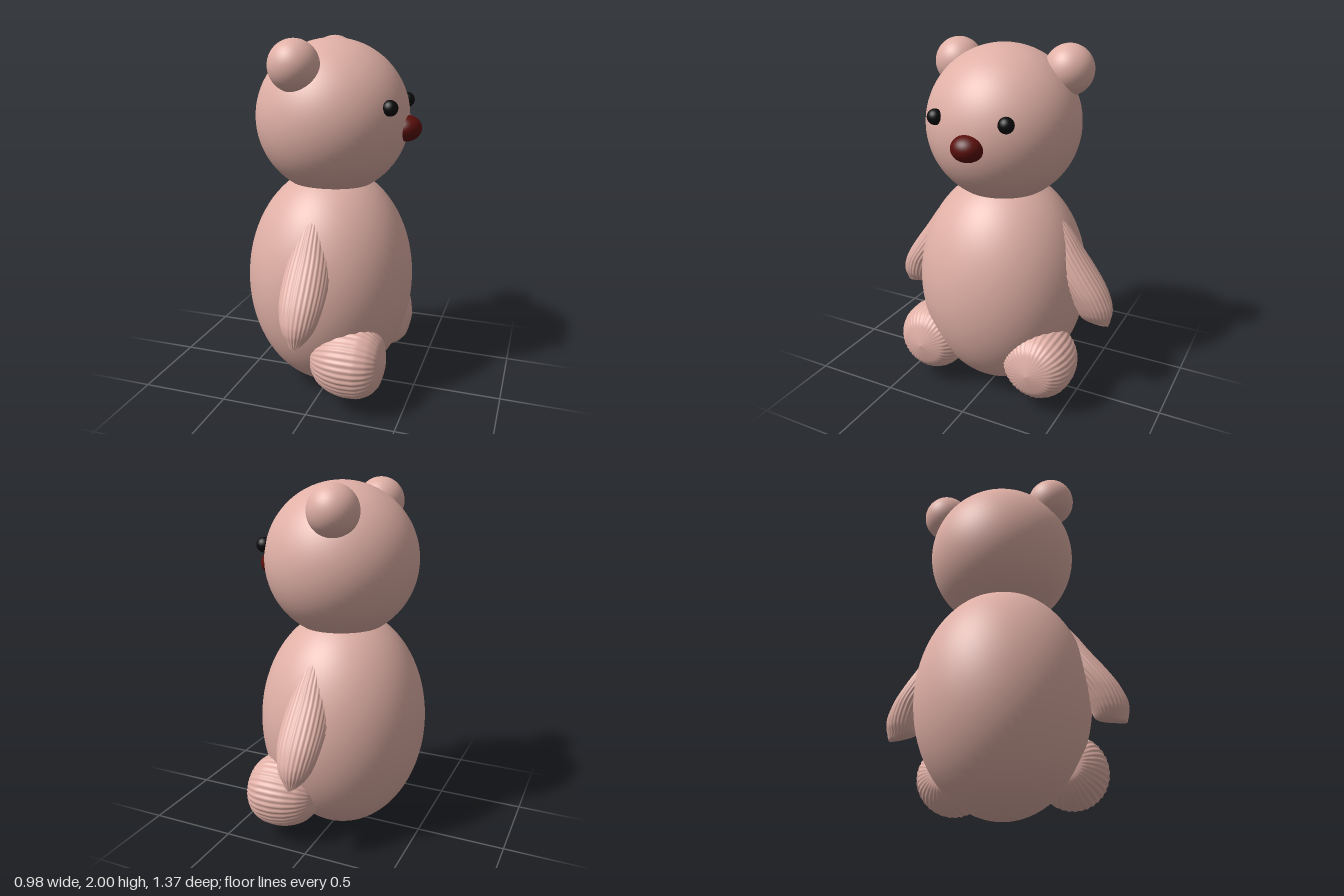
import * as THREE from 'three';

const fur = new THREE.MeshStandardMaterial({ color: 0xe0b0a6 });
const black = new THREE.MeshStandardMaterial({ color: 0x0a0a0a });
const darkRed = new THREE.MeshStandardMaterial({ color: 0x5a0f0b });

// Smooth ellipsoid with its own centre and radii
function ellipsoid(name, material, [x, y, z], [rx, ry, rz], detail = 48) {
  const geometry = new THREE.SphereGeometry(1, detail, detail / 2);
  geometry.scale(rx, ry, rz);
  const mesh = new THREE.Mesh(geometry, material);
  mesh.name = name;
  mesh.position.set(x, y, z);
  return mesh;
}

// Closed, ribbed loft through elliptical rings.
// rings: [centre, radiusU, radiusV]; u cross v points along the loft.
function ribbedLoft(rings, u, v, ribs, depth, steps = 40) {
  const centres = new THREE.CatmullRomCurve3(rings.map(r => new THREE.Vector3(...r[0])));
  const radii = new THREE.CatmullRomCurve3(rings.map(r => new THREE.Vector3(r[1], r[2], 0)));
  const around = ribs * 6;
  const positions = [];
  const index = [];
  for (let i = 0; i <= steps; i++) {
    const c = centres.getPoint(i / steps);
    const r = radii.getPoint(i / steps);
    for (let j = 0; j < around; j++) {
      const a = (j / around) * Math.PI * 2;
      const rib = 1 + depth * Math.cos(a * ribs);
      const p = c.clone()
        .addScaledVector(u, Math.max(r.x, 0) * rib * Math.cos(a))
        .addScaledVector(v, Math.max(r.y, 0) * rib * Math.sin(a));
      positions.push(p.x, p.y, p.z);
      if (i === steps) continue;
      const k = (j + 1) % around;
      const p0 = i * around + j, p1 = i * around + k;
      index.push(p0, p1, p0 + around, p1, p1 + around, p0 + around);
    }
  }
  const geometry = new THREE.BufferGeometry();
  geometry.setAttribute('position', new THREE.Float32BufferAttribute(positions, 3));
  geometry.setIndex(index);
  geometry.computeVertexNormals();
  return geometry;
}

const X = new THREE.Vector3(1, 0, 0);
const Y = new THREE.Vector3(0, 1, 0);
const Z = new THREE.Vector3(0, 0, 1);

// Arm levels from shoulder to paw: height, inner z, outer z, half width
function armGeometry() {
  const levels = [
    [1.16, 0.2, 0.2, 0],
    [1.1, 0.12, 0.34, 0.06],
    [1.0, 0.18, 0.425, 0.09],
    [0.89, 0.27, 0.5, 0.113],
    [0.77, 0.35, 0.588, 0.122],
    [0.68, 0.42, 0.645, 0.117],
    [0.6, 0.46, 0.678, 0.1],
    [0.55, 0.485, 0.683, 0.082],
    [0.505, 0.51, 0.675, 0.052],
    [0.485, 0.6, 0.67, 0.03],
    [0.473, 0.667, 0.667, 0],
  ];
  const rings = levels.map(([y, inner, outer, half]) =>
    [[0, y, (inner + outer) / 2], half, (outer - inner) / 2]);
  return ribbedLoft(rings, X, Z, 28, 0.018);
}

// Leg profile along x, ending in a blunt point at the sole
function legGeometry() {
  const profile = [
    [-0.01, 0], [0, 0.09], [0.05, 0.152], [0.12, 0.188], [0.2, 0.202],
    [0.27, 0.198], [0.33, 0.173], [0.372, 0.128], [0.393, 0.06], [0.405, 0],
  ];
  return ribbedLoft(profile.map(([x, r]) => [[x, 0, 0], r, r]), Y, Z, 36, 0.014);
}

export function createModel() {
  const bear = new THREE.Group();
  bear.name = 'bear';

  // Body and head
  bear.add(ellipsoid('body', fur, [-0.017, 0.646, 0], [0.474, 0.645, 0.49], 80));
  bear.add(ellipsoid('head', fur, [-0.008, 1.57, -0.006], [0.425, 0.425, 0.425], 80));
  bear.add(ellipsoid('nose', darkRed, [0.405, 1.526, -0.012], [0.084, 0.071, 0.088]));

  // Paired parts; the face looks along +x, so the left side is -z
  const arm = armGeometry();
  const leg = legGeometry();
  for (const [side, s] of [['right', 1], ['left', -1]]) {
    bear.add(ellipsoid(side + 'Ear', fur, [-0.106, 1.864, s * 0.33 - 0.006], [0.134, 0.135, 0.134]));
    bear.add(ellipsoid(side + 'Eye', black, [0.364, 1.655, s * 0.202 - 0.004], [0.042, 0.042, 0.042], 24));

    const armMesh = new THREE.Mesh(arm, fur);
    armMesh.name = side + 'Arm';
    armMesh.rotation.y = s > 0 ? 0 : Math.PI;
    bear.add(armMesh);

    const legMesh = new THREE.Mesh(leg, fur);
    legMesh.name = side + 'Leg';
    legMesh.position.set(0, 0.284, s * 0.341 - 0.008);
    bear.add(legMesh);
  }
  return bear;
}
